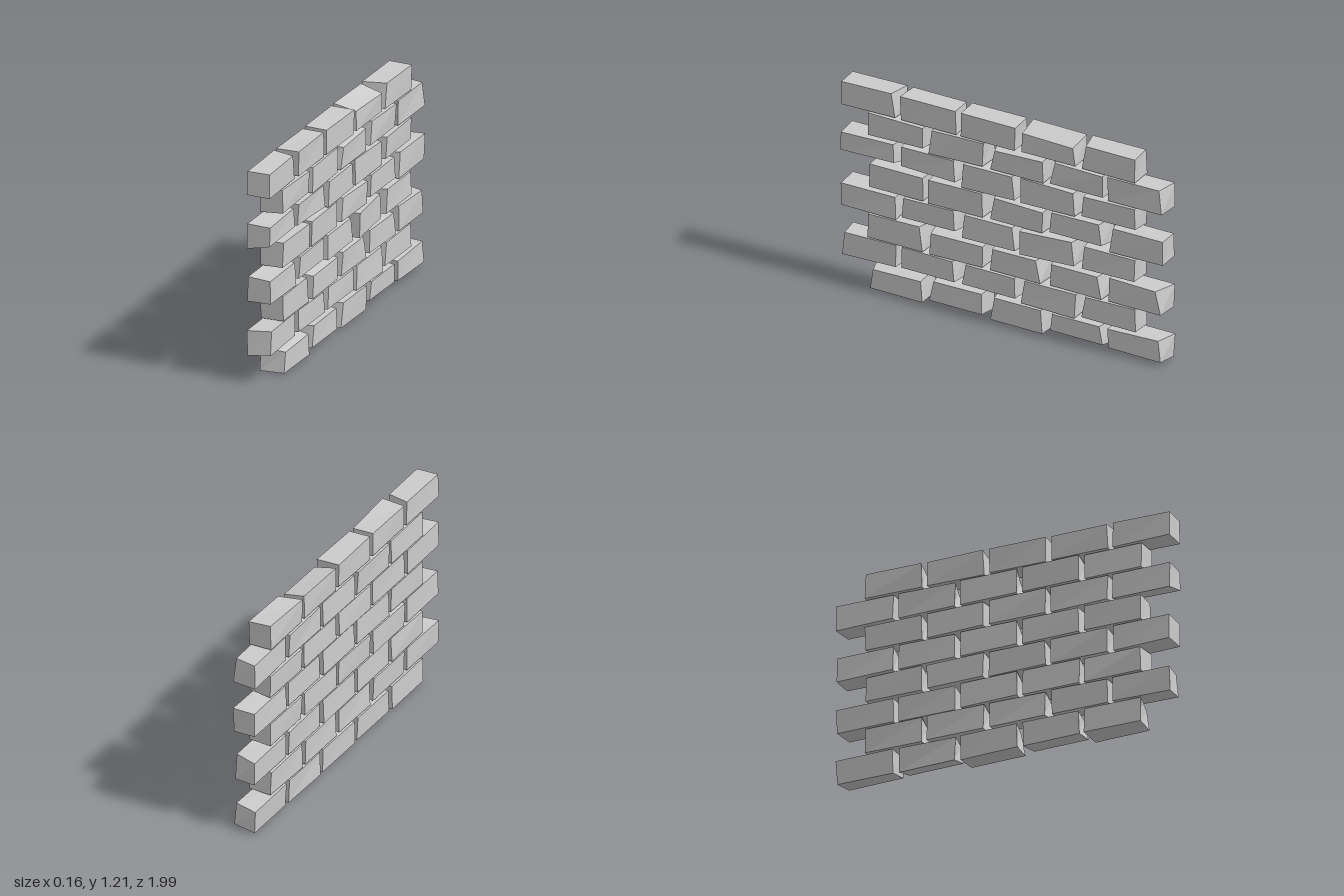
import * as THREE from 'three';

const T = 0.13, H = 0.14, L = 0.336;      // brick thickness (x), height (y), length (z)
const PITCH_Y = 0.1515, PITCH_Z = 0.369;  // course and brick spacing

// Chipping of each brick's +x face, in hundredths, bottom course first:
// [inset of the +z end, inset of the -z end, top lowered (+) or bottom raised (-)]
const CHIPS = [
  [[3, 1, 2], [3, 1, -2], [4, 1, 0], [3, 2, -3], [0, 3, -2]],
  [[2, 0, -1], [1, 2, -2], [3, 0, -2], [2, 0, 0], [3, 0, -1]],
  [[0, 2, 0], [2, 0, 2], [3, 4, 1], [2, 3, 1], [1, 4, 0]],
  [[0, 0, 1], [2, 1, -2], [2, 2, 1], [1, 2, 0], [3, 0, -1]],
  [[1, 0, 0], [0, 1, 0], [4, 0, 1], [2, 2, -2], [3, 0, 0]],
  [[0, 2, -3], [0, 1, -2], [2, 2, 0], [0, 1, 0], [2, 0, -2]],
  [[0, 0, -1], [2, 0, 0], [4, 0, 2], [4, 0, -1], [0, 2, 0]],
  [[0, 3, 0], [0, 0, 0], [0, 0, 0], [1, 1, 3], [3, 0, 0]],
];

// Small seeded generator for the uneven corners
let seed = 7;
const jitter = (amount) => {
  seed = (seed * 16807) % 2147483647;
  return (seed / 2147483647 - 0.5) * 2 * amount;
};

// A box whose eight corners are nudged, with the +x face chipped
function brickGeometry([left, right, vertical], twist) {
  const geometry = new THREE.BoxGeometry(T, H, L);
  const p = geometry.attributes.position;
  const nudges = Array.from({ length: 8 }, () => [jitter(0.005), jitter(0.004), jitter(0.004)]);
  for (let i = 0; i < p.count; i++) {
    const sx = Math.sign(p.getX(i)), sy = Math.sign(p.getY(i)), sz = Math.sign(p.getZ(i));
    const n = nudges[(sx > 0 ? 4 : 0) + (sy > 0 ? 2 : 0) + (sz > 0 ? 1 : 0)];
    let x = p.getX(i) + n[0], y = p.getY(i) + n[1], z = p.getZ(i) + n[2];
    if (sx > 0) {
      // End chips are deeper at the top than at the bottom
      z -= sz * (sz > 0 ? left : right) * (sy > 0 ? 0.01 : 0.003);
      if (sy * vertical > 0) y -= vertical * 0.01;
      if (sz > 0) x += twist;
    }
    p.setXYZ(i, x, y, z);
  }
  geometry.computeVertexNormals();
  return geometry;
}

export function createModel() {
  const wall = new THREE.Group();
  wall.name = 'brickWall';
  const material = new THREE.MeshStandardMaterial({ color: 0xcccccc, flatShading: true });

  // Running bond: every other course is shifted along z
  CHIPS.forEach((bricks, row) => {
    const course = new THREE.Group();
    course.name = `course${row + 1}`;
    const start = row % 2 ? 0.825 : 0.655;
    bricks.forEach((chip, col) => {
      // One brick in the middle of the wall stands proud
      const twist = row === 3 && col === 3 ? 0.02 : 0;
      const brick = new THREE.Mesh(brickGeometry(chip, twist), material);
      brick.name = `brick${col + 1}`;
      brick.position.set(-0.01, 0.088 + row * PITCH_Y, start - col * PITCH_Z);
      course.add(brick);
    });
    wall.add(course);
  });
  return wall;
}
